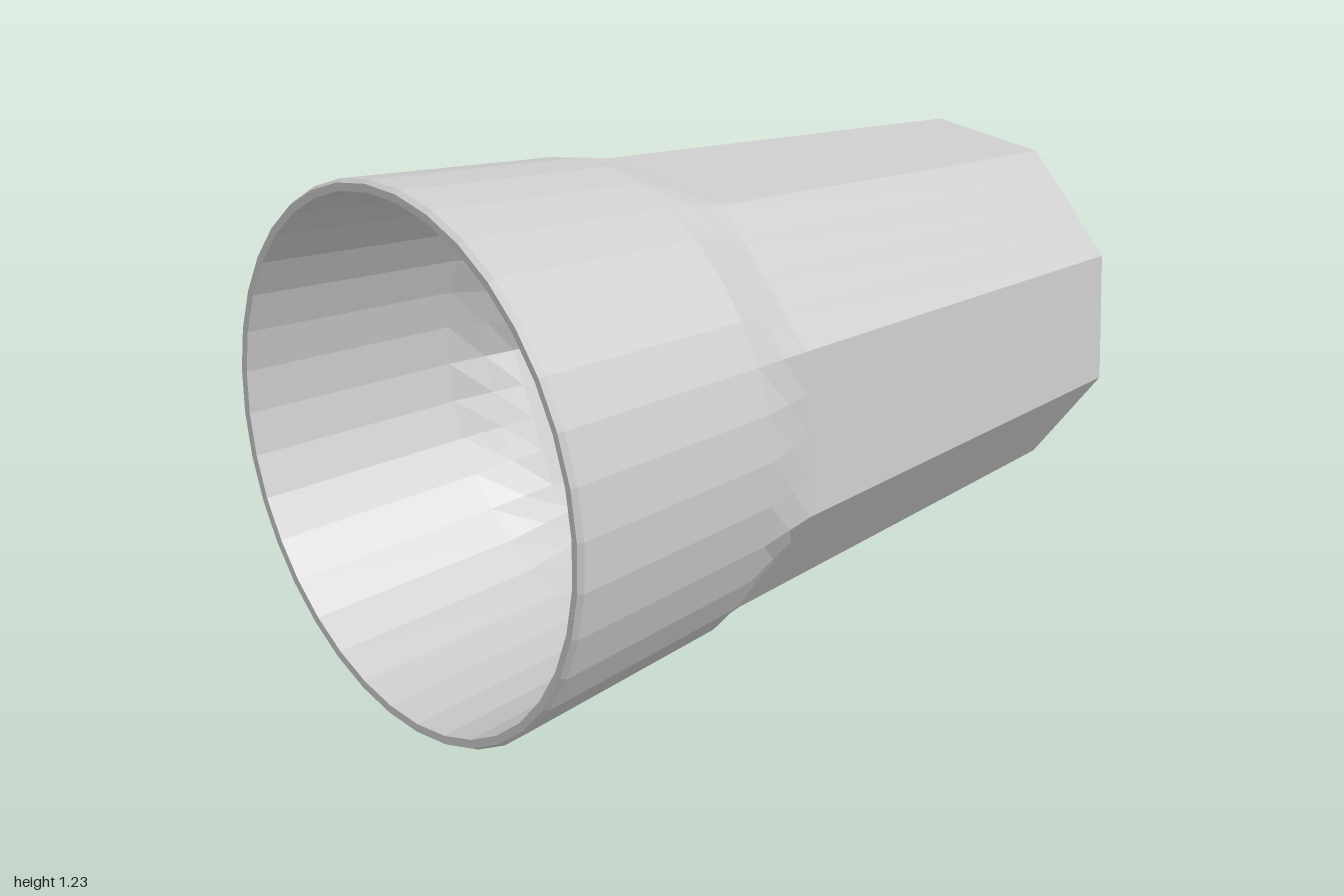
import * as THREE from 'three';

const SIDES = 9;            // flats on the narrow end
const SEG = SIDES * 4;      // points around each ring
const PHASE = THREE.MathUtils.degToRad(24);

// Radius factor of a nonagon (1 at its corners)
function nonagon(angle) {
  const step = (Math.PI * 2) / SIDES;
  const a = ((angle % step) + step) % step;
  return Math.cos(step / 2) / Math.cos(a - step / 2);
}

// Skin rings of [z, radius, roundness] from 0 (nonagon) to 1 (circle)
function ringSkin(rings) {
  const pos = [], index = [];
  for (const [z, r, round] of rings) {
    for (let j = 0; j < SEG; j++) {
      const a = (j / SEG) * Math.PI * 2;
      const k = r * THREE.MathUtils.lerp(nonagon(a), 1, round);
      pos.push(Math.cos(a + PHASE) * k, Math.sin(a + PHASE) * k, z);
    }
  }
  for (let i = 0; i < rings.length - 1; i++) {
    for (let j = 0; j < SEG; j++) {
      const n = (j + 1) % SEG;
      const a = i * SEG + j, b = i * SEG + n, c = b + SEG, d = a + SEG;
      if (rings[i][1] > 0) index.push(a, b, c);
      if (rings[i + 1][1] > 0) index.push(a, c, d);
      else index.push(a, b, d);
    }
  }
  const g = new THREE.BufferGeometry();
  g.setAttribute('position', new THREE.Float32BufferAttribute(pos, 3));
  g.setIndex(index);
  g.computeVertexNormals();
  return g;
}

export function createModel() {
  const model = new THREE.Group();
  model.name = 'tumblerWithBalls';

  // Tumbler lying on its side: base, faceted body, round mouth, then the inside
  const shell = ringSkin([
    [-0.945, 0, 1],
    [-0.94, 0.30, 1],
    [-0.955, 0.36, 0.6],
    [-0.96, 0.445, 0],
    [-0.93, 0.48, 0],
    [0.24, 0.55, 0],
    [0.32, 0.563, 0.45],
    [0.41, 0.578, 1],
    [0.95, 0.617, 1],
    [0.962, 0.61, 1],
    [0.96, 0.592, 1],
    [0.42, 0.555, 1],
    [0.32, 0.538, 0.45],
    [0.24, 0.525, 0],
    [-0.87, 0.455, 0],
    [-0.90, 0.42, 0],
    [-0.91, 0.28, 1],
    [-0.91, 0, 1],
  ]);
  const tumbler = new THREE.Mesh(
    shell,
    new THREE.MeshStandardMaterial({ color: 0xcccccc, flatShading: true })
  );
  tumbler.name = 'tumbler';
  tumbler.position.set(0.04, 0.606, 0);
  tumbler.rotation.set(-0.0115, -0.042, 0);
  model.add(tumbler);

  // Two equal balls inside, the rear one pressing through the base
  const ballGeometry = new THREE.SphereGeometry(0.2725, 48, 32);
  const ballMaterial = new THREE.MeshStandardMaterial({ color: 0xcccccc });
  const balls = [
    ['rearBall', 0.1225, 0.6725, -0.7275],
    ['frontBall', 0.2125, 0.5625, -0.42],
  ];
  for (const [name, x, y, z] of balls) {
    const ball = new THREE.Mesh(ballGeometry, ballMaterial);
    ball.name = name;
    ball.position.set(x, y, z);
    model.add(ball);
  }
  return model;
}
